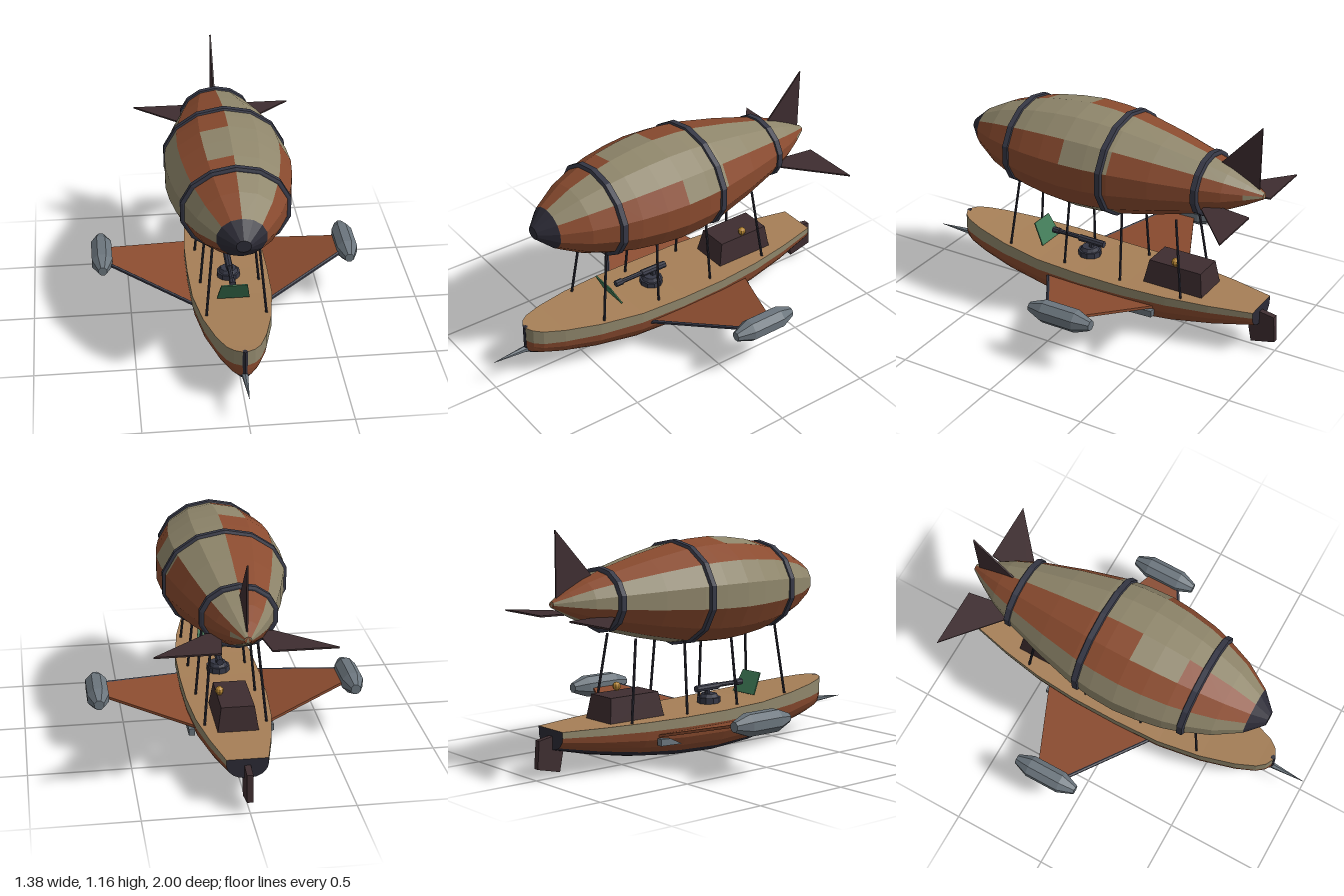
import * as THREE from 'three';

const mat = (name, color) => new THREE.MeshStandardMaterial({ name, color });
const V = (x, y, z) => new THREE.Vector3(x, y, z);

export function createModel() {
  const khaki = mat('khaki', 0x8f866b), rust = mat('rust', 0x8a4b2f), charcoal = mat('charcoal', 0x2c2b36);
  const slate = mat('slate', 0x363846), steel = mat('steel', 0x6b757d), brown = mat('dark brown', 0x3e2d30);
  const wood = mat('deck wood', 0xa67f57), green = mat('green glass', 0x3f7a56), brass = mat('brass', 0xb98834);
  const model = new THREE.Group();
  model.name = 'airship';

  const add = (name, geometry, material, parent = model) => {
    const flat = geometry.index ? geometry.toNonIndexed() : geometry;
    flat.computeVertexNormals();
    const mesh = new THREE.Mesh(flat, material);
    mesh.name = name;
    parent.add(mesh);
    return mesh;
  };

  // Closed faceted solid through rings of equal length; pick(ring, side) gives the material index
  const loft = (name, rings, mats, pick = () => 0, parent = model) => {
    const list = [].concat(mats), tris = list.map(() => []);
    const n = rings[0].length, last = rings.length - 1;
    for (let i = 0; i < last; i++) for (let j = 0; j < n; j++) {
      const k = (j + 1) % n, a = rings[i][j], b = rings[i][k], c = rings[i + 1][k], d = rings[i + 1][j];
      tris[pick(i, j)].push([a, b, c], [a, c, d]);
    }
    for (let j = 1; j < n - 1; j++) {
      tris[pick(-1, j)].push([rings[0][0], rings[0][j + 1], rings[0][j]]);
      tris[pick(last, j)].push([rings[last][0], rings[last][j], rings[last][j + 1]]);
    }
    // turn the faces outward if the rings ran the other way
    const mid = rings[0][0];
    let volume = 0;
    tris.flat().forEach(([a, b, c]) => {
      volume += a.clone().sub(mid).dot(b.clone().sub(mid).cross(c.clone().sub(mid)));
    });
    const geo = new THREE.BufferGeometry(), pos = [];
    tris.forEach((set, m) => {
      const start = pos.length / 3;
      set.forEach(([a, b, c]) => (volume < 0 ? [a, c, b] : [a, b, c]).forEach(p => pos.push(p.x, p.y, p.z)));
      geo.addGroup(start, pos.length / 3 - start, m);
    });
    geo.setAttribute('position', new THREE.Float32BufferAttribute(pos, 3));
    return add(name, geo, list.length > 1 ? list : list[0], parent);
  };
  const ring = (cx, cy, z, rx, ry, n, turn = 0) => Array.from({ length: n }, (_, j) => {
    const a = (j + turn) / n * Math.PI * 2;
    return V(cx + rx * Math.sin(a), cy + ry * Math.cos(a), z);
  });
  // Flat plate: outline thickened along a vector
  const plate = (name, pts, t, m, parent) => loft(name,
    [-0.5, 0.5].map(s => pts.map(p => V(...p).addScaledVector(t, s))), m, undefined, parent);
  const rod = (name, a, b, r, m, parent, sides = 6, r2 = r) => {
    const dir = b.clone().sub(a);
    const mesh = add(name, new THREE.CylinderGeometry(r2, r, dir.length(), sides), m, parent);
    mesh.position.copy(a).addScaledVector(dir, 0.5);
    mesh.quaternion.setFromUnitVectors(V(0, 1, 0), dir.normalize());
    return mesh;
  };

  // Gas envelope with camouflage patches
  const cy = 0.825, wide = 1.2, sides = 14;
  const profile = [[0.74, 0.03], [0.66, 0.1], [0.53, 0.168], [0.39, 0.215], [0.3, 0.237], [0.17, 0.256], [0.05, 0.265],
    [-0.08, 0.26], [-0.205, 0.245], [-0.4, 0.203], [-0.6, 0.15], [-0.73, 0.104], [-0.82, 0.06], [-0.9, 0.015]];
  const khakiSides = [0, 1, 6, 7, 10, 11];
  loft('envelope', profile.map(([z, r]) => ring(0, cy, z, r * wide, r, sides)), [khaki, rust, charcoal], (i, j) => {
    if (i < 1) return 2;
    const z = profile[i][0];
    let isKhaki = khakiSides.includes(j);
    if (z <= 0.05 && z > -0.2 && (j === 2 || j === 5)) isKhaki = true;
    if (z <= 0.3 && z > 0.05 && j === 13) isKhaki = true;
    if (z <= -0.82 && j === 3) isKhaki = true;
    return isKhaki ? 0 : 1;
  });
  // Hoops around the envelope
  [[0.39, 0.227], [-0.165, 0.262], [-0.615, 0.158]].forEach(([z, r]) => loft('envelopeHoop',
    [[0.019, -0.012], [0.014, 0], [-0.014, 0], [-0.019, -0.012]]
      .map(([dz, dr]) => ring(0, cy, z + dz, (r + dr) * 1.19, r + dr, sides)), slate));

  // Tail fins
  plate('topFin', [[0, 1.17, -0.875], [0, 0.83, -0.875], [0, 0.9, -0.67], [0, 0.945, -0.67]], V(0.008, 0, 0), brown);
  [1, -1].forEach(s => plate('sideFin',
    [[s * 0.42, 0.755, -0.88], [s * 0.115, 0.755, -0.88], [s * 0.08, 0.755, -0.65], [s * 0.155, 0.755, -0.65]],
    V(0, 0.008, 0), brown));

  // Hull stations: z, half width, deck height, keel height, gunwale band depth
  const stations = [[0.82, 0.012, 0.3, 0.145, 0.078], [0.8, 0.05, 0.298, 0.138, 0.077], [0.76, 0.082, 0.293, 0.127, 0.075],
    [0.66, 0.122, 0.283, 0.1, 0.07], [0.48, 0.168, 0.267, 0.06, 0.064], [0.25, 0.2, 0.25, 0.022, 0.058],
    [0, 0.206, 0.242, 0.005, 0.055], [-0.25, 0.203, 0.24, 0.017, 0.05], [-0.48, 0.185, 0.24, 0.045, 0.045],
    [-0.7, 0.148, 0.24, 0.087, 0.038], [-0.915, 0.098, 0.24, 0.14, 0.03]];
  const section = [[1, 1], [0.95, 0.7], [0.82, 0.45], [0.68, 0.27], [0.42, 0.1]];
  const hullRings = stations.map(([z, w, deck, keel, band]) => {
    const half = [[w, deck], ...section.map(([x, h]) => [w * x, keel + (deck - band - keel) * h])];
    return [...half.map(([x, y]) => V(x, y, z)), V(0, keel, z), ...half.reverse().map(([x, y]) => V(-x, y, z))];
  });
  const strakes = [0, 1, 1, 1, 2, 2, 2, 2, 1, 1, 1, 0, 3];
  loft('hull', hullRings, [khaki, rust, charcoal, wood], (i, j) => (i < 0 || i === stations.length - 1 ? 2 : strakes[j]));
  rod('bowStem', V(0, 0.15, 0.815), V(0, 0.3, 0.815), 0.013, charcoal);
  rod('bowSpike', V(0, 0.165, 0.8), V(0, 0.162, 1), 0.018, steel, model, 6, 0.001);
  plate('rudder', [[0, 0.21, -0.9], [0, 0.195, -0.99], [0, 0.06, -1], [0, 0.03, -0.875], [0, 0.13, -0.855]],
    V(0.03, 0, 0), brown);

  // Cabin with brass lamp
  loft('cabin', [[0.23, 0.1, -0.31, -0.64], [0.36, 0.08, -0.335, -0.62]].map(([y, w, f, b]) =>
    [V(w, y, f), V(w, y, b), V(-w, y, b), V(-w, y, f)]), brown);
  const lamp = add('lamp', new THREE.SphereGeometry(0.021, 8, 6), brass);
  lamp.position.set(0.068, 0.382, -0.475);
  rod('lampStem', V(0.068, 0.35, -0.475), V(0.068, 0.375, -0.475), 0.01, brass);

  // Windscreen
  plate('windscreen', [[0.065, 0.37, 0.355], [-0.065, 0.37, 0.355], [-0.082, 0.262, 0.297], [0.082, 0.262, 0.297]],
    V(0, -0.003, 0.006), green);

  // Deck gun
  const gun = new THREE.Group();
  gun.name = 'deckGun';
  model.add(gun);
  rod('gunBase', V(0, 0.235, 0.06), V(0, 0.272, 0.06), 0.06, slate, gun, 10);
  rod('gunTurret', V(0, 0.272, 0.06), V(0, 0.29, 0.06), 0.05, slate, gun, 10, 0.04);
  rod('gunMount', V(0, 0.285, 0.05), V(0, 0.32, 0.05), 0.015, slate, gun);
  rod('gunBarrel', V(0, 0.325, 0.1), V(0, 0.325, 0.26), 0.012, slate, gun, 8);
  rod('gunBreech', V(0, 0.32, -0.025), V(0, 0.322, 0.12), 0.018, slate, gun, 8);
  rod('gunMuzzle', V(0, 0.325, 0.24), V(0, 0.325, 0.28), 0.017, slate, gun, 8);

  for (const s of [1, -1]) {
    // Struts from deck to envelope
    [[0.405, 0.452], [0.105, 0.12], [-0.195, -0.207], [-0.495, -0.55]].forEach(([top, foot]) =>
      rod('strut', V(s * 0.15, 0.235, foot), V(s * 0.112, 0.64, top), 0.007, charcoal));

    // Wing, leading edge, float pod and root bracket
    const wing = new THREE.Group();
    wing.name = s > 0 ? 'leftWing' : 'rightWing';
    model.add(wing);
    plate('wingPanel', [[s * 0.17, 0.162, 0.2], [s * 0.61, 0.267, -0.08], [s * 0.61, 0.267, -0.225], [s * 0.17, 0.162, -0.42]],
      V(0, 0.014, 0), rust, wing);
    rod('leadingEdge', V(s * 0.18, 0.164, 0.2), V(s * 0.61, 0.267, -0.075), 0.01, slate, wing);
    loft('pod', [[0.008, 0.024], [-0.075, 0.057], [-0.255, 0.057], [-0.334, 0.026]]
      .map(([z, r]) => ring(s * 0.637, 0.272, z, r, r, 8, 0.5)), steel, undefined, wing);
    plate('wingBracket', [[s * 0.195, 0.115, -0.29], [s * 0.195, 0.15, -0.36], [s * 0.195, 0.155, -0.42], [s * 0.195, 0.12, -0.42]],
      V(0.03, 0, 0), steel, wing);
  }
  return model;
}
